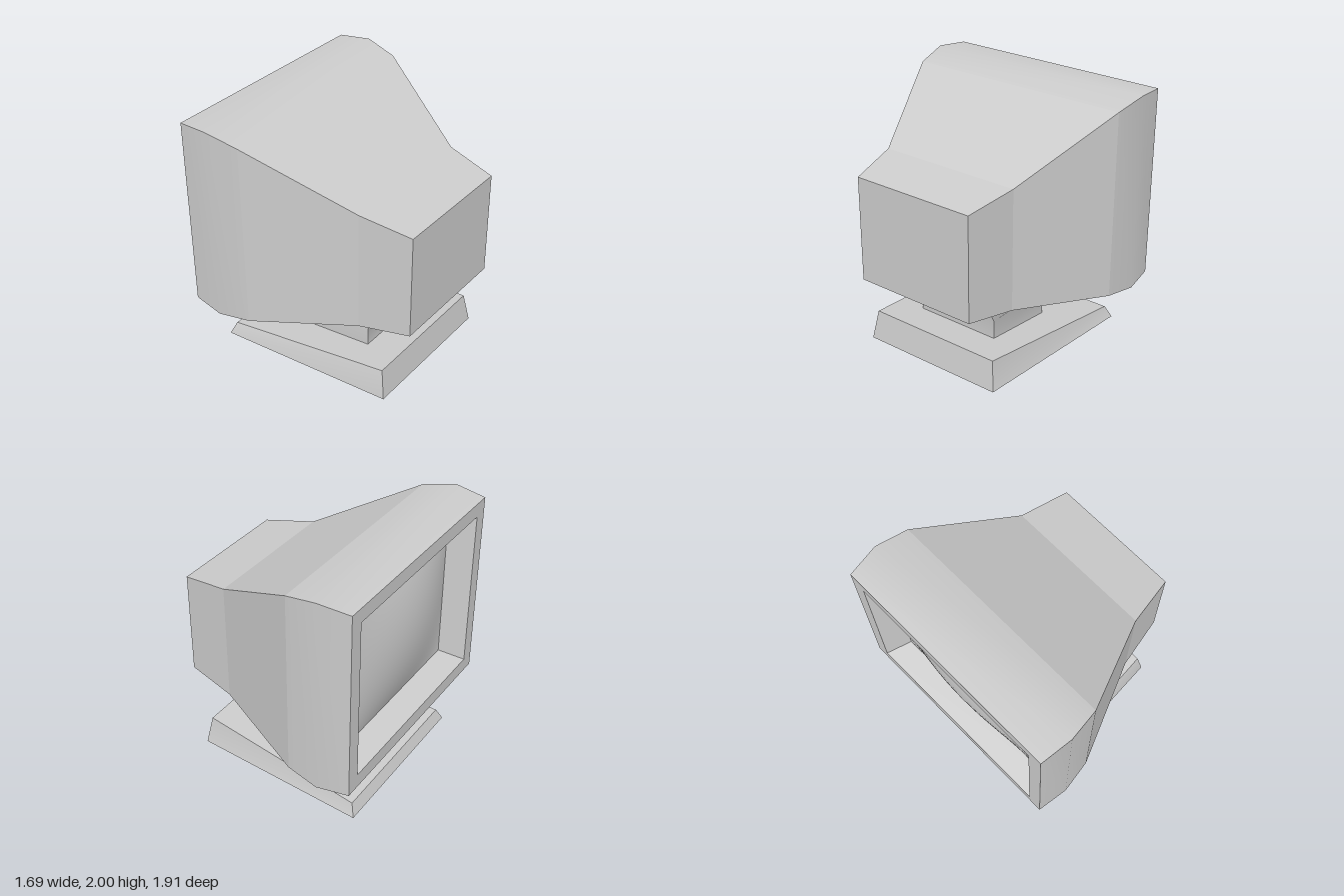
import * as THREE from 'three';
import { toCreasedNormals } from 'three/addons/utils/BufferGeometryUtils.js';

const grey = new THREE.MeshStandardMaterial({ color: 0xcccccc, side: THREE.DoubleSide });

// Skin a series of closed rings of points; skipEdge leaves one strip open.
function loft(rings, { skipEdge = -1, crease = 0.2 } = {}) {
  const pos = [];
  for (let r = 0; r < rings.length - 1; r++) {
    const a = rings[r], b = rings[r + 1], n = a.length;
    for (let i = 0; i < n; i++) {
      if (i === skipEdge) continue;
      const j = (i + 1) % n;
      pos.push(...a[i], ...a[j], ...b[j], ...a[i], ...b[j], ...b[i]);
    }
  }
  const geo = new THREE.BufferGeometry();
  geo.setAttribute('position', new THREE.Float32BufferAttribute(pos, 3));
  return toCreasedNormals(geo, crease);
}

// Upright rectangle across the x axis.
const frame = (x, y0, y1, hz) => [[x, y1, -hz], [x, y1, hz], [x, y0, hz], [x, y0, -hz]];

// Housing section: a rectangle whose bottom edge has two extra points above the neck.
const section = (x, y0, y1, hz, inY, inZ) => [
  [x, y1, -hz], [x, y1, hz], [x, y0, hz], [x, inY, inZ], [x, inY, -inZ], [x, y0, -hz],
];

// Sloping four-cornered ring; each end is [x, y, half depth].
const slab = ([xb, yb, zb], [xf, yf, zf]) => [[xb, yb, -zb], [xf, yf, -zf], [xf, yf, zf], [xb, yb, zb]];

export function createModel() {
  const model = new THREE.Group();
  const add = (name, geo) => {
    const mesh = new THREE.Mesh(geo, grey);
    mesh.name = name;
    model.add(mesh);
  };

  // Housing: soft front rim, faceted tapering rear, open where the neck joins
  const sections = [
    section(-0.845, 0.455, 1.977, 0.922, 0.455, 0.435),
    section(-0.59, 0.432, 2.0, 0.953, 0.432, 0.435),
    section(-0.33, 0.462, 1.94, 0.915, 0.432, 0.435),
    section(0.445, 0.572, 1.533, 0.583, 0.572, 0.31),
    section(0.845, 0.622, 1.46, 0.51, 0.622, 0.31),
  ];
  add('housingRim', loft(sections.slice(0, 3), { crease: 0.5 }));
  add('housingTaper', loft(sections.slice(2, 4), { skipEdge: 3 }));
  add('housingTail', loft(sections.slice(3)));

  // Flat back panel
  const back = new THREE.PlaneGeometry(1.02, 0.838);
  back.rotateY(Math.PI / 2).translate(0.845, 1.041, 0);
  add('backPanel', back);

  // Bezel face and the recess walls that narrow towards the screen
  add('bezel', loft([
    frame(-0.654, 0.635, 1.8, 0.725),
    frame(-0.845, 0.567, 1.865, 0.81),
    frame(-0.845, 0.455, 1.977, 0.922),
  ]));

  // Bulging screen
  const screen = new THREE.PlaneGeometry(1.45, 1.165, 16, 16);
  const p = screen.attributes.position;
  for (let i = 0; i < p.count; i++) {
    const u = p.getX(i) / 0.725, v = p.getY(i) / 0.5825;
    p.setZ(i, 0.11 * (1 - u * u) * (1 - v * v));
  }
  screen.computeVertexNormals();
  screen.rotateY(-Math.PI / 2).translate(-0.654, 1.2175, 0);
  add('screen', screen);

  // Hollow neck flaring softly up into the housing
  const neckFoot = slab([0.365, 0.206, 0.355], [-0.25, 0.1425, 0.355]);
  add('neck', loft([
    neckFoot,
    slab([0.365, 0.355, 0.355], [-0.25, 0.325, 0.355]),
    slab([0.445, 0.572, 0.31], [-0.33, 0.432, 0.435]),
  ], { crease: 0.9 }));

  // Wedge-shaped base shell, open underneath
  add('base', loft([
    slab([0.687, 0, 0.6], [-0.75, 0, 0.695]),
    slab([0.647, 0.235, 0.565], [-0.71, 0.095, 0.65]),
    neckFoot,
  ], { crease: 0.5 }));

  return model;
}
